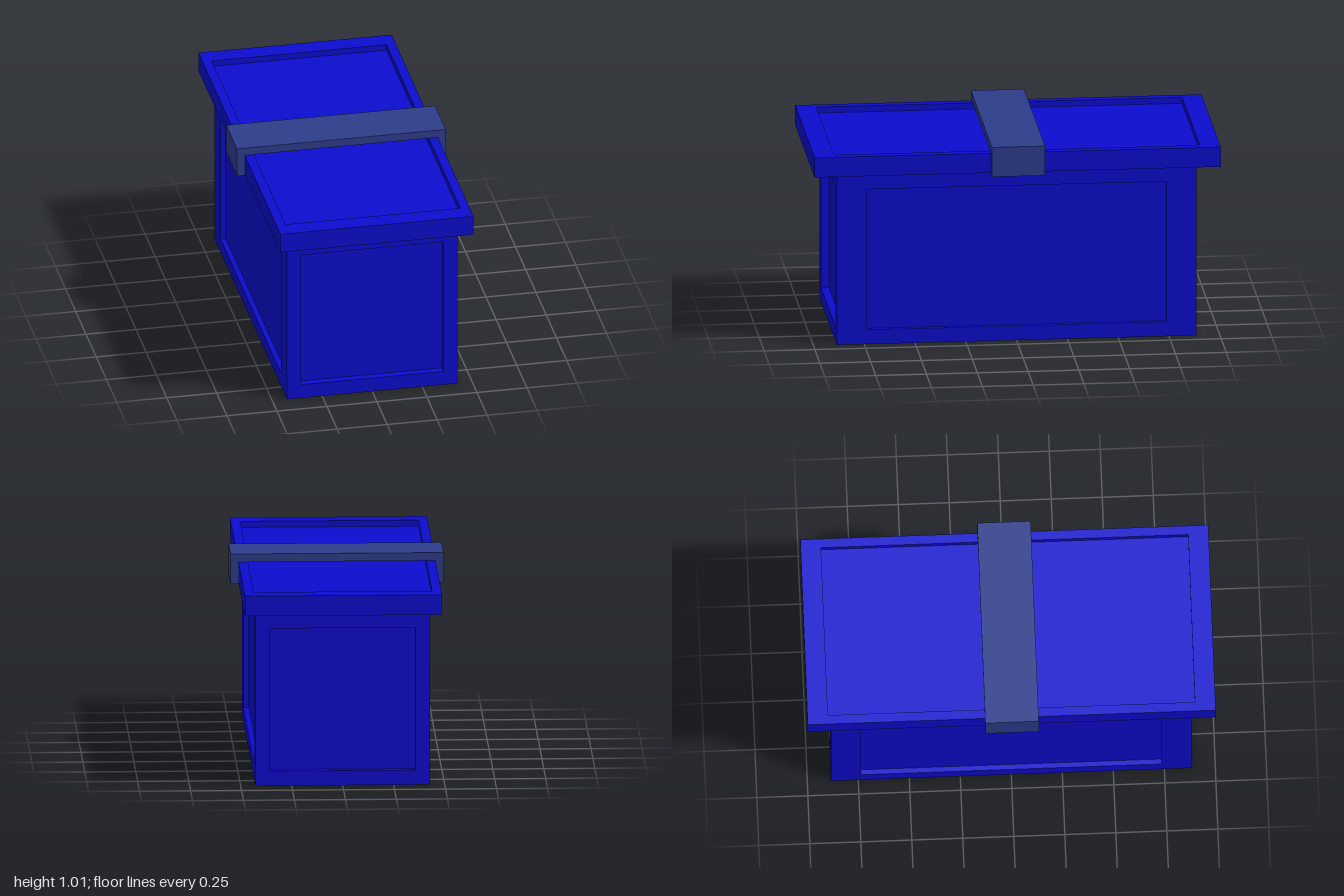
import * as THREE from 'three';

const blue = new THREE.MeshStandardMaterial({ color: 0x0c0ccf });
blue.name = 'blue paint';
const slate = new THREE.MeshStandardMaterial({ color: 0x2e3c8b });
slate.name = 'slate blue clasp';

function box(name, w, h, d, y) {
  const mesh = new THREE.Mesh(new THREE.BoxGeometry(w, h, d), blue);
  mesh.name = name;
  mesh.position.y = y;
  return mesh;
}

// Closed rectangular path from corner coordinates
function rect(path, x0, y0, x1, y1) {
  path.moveTo(x0, y0);
  path.lineTo(x1, y0);
  path.lineTo(x1, y1);
  path.lineTo(x0, y1);
  path.closePath();
  return path;
}

// Raised border around a sunken panel, extruded along +z
function frame(name, outer, inner, depth) {
  const shape = rect(new THREE.Shape(), ...outer);
  shape.holes.push(rect(new THREE.Path(), ...inner));
  const mesh = new THREE.Mesh(new THREE.ExtrudeGeometry(shape, { depth, bevelEnabled: false }), blue);
  mesh.name = name;
  return mesh;
}

export function createModel() {
  const model = new THREE.Group();
  model.name = 'chest';

  const W = 0.427, H = 0.87, L = 0.885; // body half width, height, half length
  const endDepth = 0.04, sideDepth = 0.026, lidDepth = 0.03;

  // Body core, whose faces form the sunken panels
  const body = new THREE.Group();
  body.name = 'body';
  body.add(box('bodyCore', 2 * (W - sideDepth), H, 2 * (L - endDepth), H / 2));

  // Borders on both ends and both sides
  for (const s of [1, -1]) {
    const end = frame(s > 0 ? 'frontFrame' : 'backFrame', [-W, 0, W, H], [-0.356, 0.073, 0.356, 0.785], endDepth);
    end.rotation.y = s > 0 ? 0 : Math.PI;
    end.position.z = s * (L - endDepth);

    const half = L - endDepth;
    const side = frame(s > 0 ? 'leftFrame' : 'rightFrame', [-half, 0, half, H], [-0.737, 0.073, 0.737, 0.787], sideDepth);
    side.rotation.y = s * Math.PI / 2;
    side.position.x = s * (W - sideDepth);
    body.add(end, side);
  }
  model.add(body);

  // Overhanging lid with a sunken top
  const lid = new THREE.Group();
  lid.name = 'lid';
  const lidTop = 0.97, lidW = 0.483, base = lidTop - lidDepth - H;
  lid.add(box('lidSlab', 2 * lidW, base, 2, H + base / 2));
  const rim = frame('lidRim', [-lidW, -1, lidW, 1], [-0.437, -0.9, 0.437, 0.9], lidDepth);
  rim.rotation.x = -Math.PI / 2;
  rim.position.y = lidTop - lidDepth;
  lid.add(rim);
  model.add(lid);

  // Clasp bridging the lid and hooking under its edges
  const half = [[0.434, H], [0.434, 0.86], [0.522, 0.86], [0.522, 1.01]];
  const points = [[lidW, lidTop], [lidW, H], ...half].map(([x, y]) => new THREE.Vector2(x, y));
  const mirrored = points.map((p) => new THREE.Vector2(-p.x, p.y)).reverse();
  const claspGeometry = new THREE.ExtrudeGeometry(new THREE.Shape([...points, ...mirrored]), { depth: 0.262, bevelEnabled: false });
  claspGeometry.translate(0, 0, -0.131);
  const clasp = new THREE.Mesh(claspGeometry, slate);
  clasp.name = 'clasp';
  model.add(clasp);

  return model;
}
